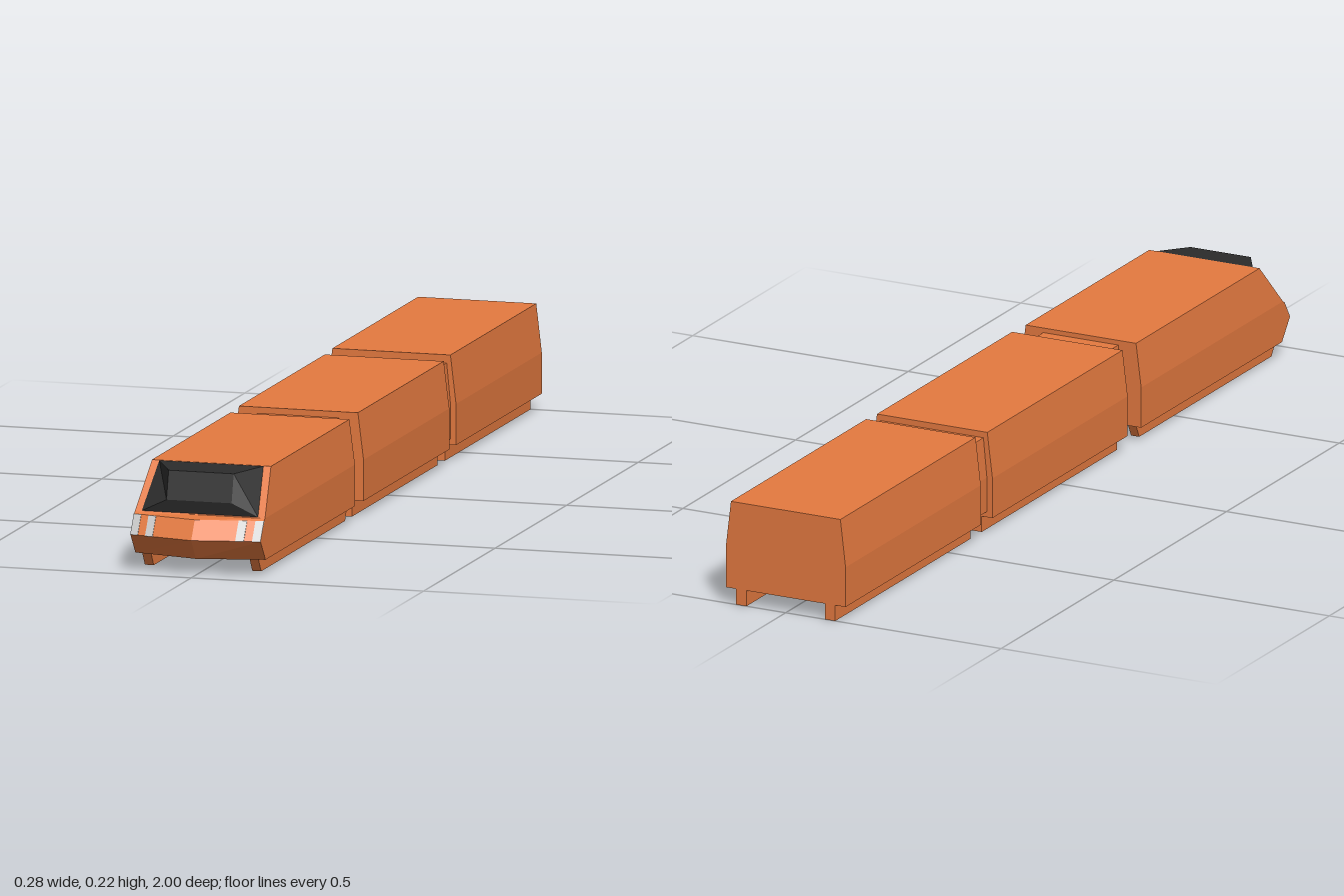
import * as THREE from 'three';

const orange = new THREE.MeshStandardMaterial({ color: 0xe57a40, flatShading: true });
const black = new THREE.MeshStandardMaterial({ color: 0x2c2c2c, flatShading: true });
const grey = new THREE.MeshStandardMaterial({ color: 0xcccccc, flatShading: true });

// Skins a stack of rings, each counter-clockwise seen from the last ring's side, and caps both ends.
function loft(rings) {
  const pos = [];
  const tri = (a, b, c) => pos.push(...a, ...b, ...c);
  const n = rings[0].length;
  for (let i = 0; i < rings.length - 1; i++) {
    for (let j = 0; j < n; j++) {
      const k = (j + 1) % n, lo = rings[i], hi = rings[i + 1];
      tri(lo[j], lo[k], hi[k]);
      tri(lo[j], hi[k], hi[j]);
    }
  }
  const last = rings[rings.length - 1];
  for (let j = 1; j < n - 1; j++) {
    tri(rings[0][0], rings[0][j + 1], rings[0][j]);
    tri(last[0], last[j], last[j + 1]);
  }
  const g = new THREE.BufferGeometry();
  g.setAttribute('position', new THREE.Float32BufferAttribute(pos, 3));
  g.computeVertexNormals();
  return g;
}

// Horizontal outline of a car at height y; the front edge may come to a point at zMid.
const plan = (y, w, back, front, zMid = front) =>
  [[-w, y, back], [-w, y, front], [0, y, zMid], [w, y, front], [w, y, back]];

function add(parent, name, geometry, material) {
  const mesh = new THREE.Mesh(geometry, material);
  mesh.name = name;
  parent.add(mesh);
  return mesh;
}

// Pair of rails under a car; bottomBack and bottomFront give sloped ends.
function addRails(parent, x0, x1, y0, y1, back, front, bottomBack = back, bottomFront = front) {
  for (const [name, a, b] of [['leftRail', x0, x1], ['rightRail', -x1, -x0]]) {
    const ring = (y, zb, zf) => [[a, y, zb], [a, y, zf], [b, y, zf], [b, y, zb]];
    add(parent, name, loft([ring(y0, bottomBack, bottomFront), ring(y1, back, front)]), orange);
  }
}

// Plain coach with sides leaning in above the waist.
function coach(name, w, top, back, front) {
  const car = new THREE.Group();
  car.name = name;
  add(car, 'coachBody', loft([
    plan(0.034, w, back, front),
    plan(0.12, w, back, front),
    plan(top, w - 0.012, back, front),
  ]), orange);
  addRails(car, 0.091, 0.115, 0, 0.036, back, front);
  return car;
}

// Leading car with a pointed nose, windscreen and headlights.
function frontCar() {
  const car = new THREE.Group();
  car.name = 'frontCar';
  const w = 0.14, back = 0.31;
  const beak = { y: 0.078, edge: 0.97, mid: 1.0 };
  const brow = { y: 0.117, edge: 0.945, mid: 0.975 };
  add(car, 'cabBody', loft([
    plan(0.034, w, back, 0.935, 0.967),
    plan(beak.y, w, back, beak.edge, beak.mid),
    plan(brow.y, w, back, brow.edge, brow.mid),
    plan(0.121, w, back, 0.939),
    plan(0.215, w - 0.012, back, 0.858),
  ]), orange);
  addRails(car, 0.106, 0.125, 0.006, 0.036, 0.315, 0.937, 0.33, 0.917);

  // Windscreen: a faceted frame rising to a smaller forward pane
  add(car, 'windscreen', loft([
    [[-0.125, 0.123, 0.939], [0.125, 0.123, 0.939], [0.112, 0.2145, 0.859], [-0.112, 0.2145, 0.859]],
    [[-0.07, 0.15, 0.945], [0.07, 0.15, 0.945], [0.07, 0.209, 0.93], [-0.07, 0.209, 0.93]],
  ]), black);

  // Headlights: thin strips lying on the nose
  const onNose = (row, x) => row.edge + (row.mid - row.edge) * (1 - Math.abs(x) / w);
  for (const [a, b] of [[-0.14, -0.123], [-0.106, -0.089], [0.089, 0.106], [0.123, 0.14]]) {
    const ring = d => [[a, beak], [b, beak], [b, brow], [a, brow]]
      .map(([x, row]) => [x, row.y, onNose(row, x) + d]);
    add(car, 'headlight', loft([ring(-0.003), ring(0.0015)]), grey);
  }
  return car;
}

export function createModel() {
  const train = new THREE.Group();
  train.name = 'train';
  train.add(frontCar());
  train.add(coach('middleCar', 0.14, 0.218, -0.35, 0.25));
  train.add(coach('rearCar', 0.139, 0.222, -1, -0.4));

  // Gangways joining the cars
  for (const [name, w, back, front] of [
    ['frontGangway', 0.095, 0.245, 0.315],
    ['rearGangway', 0.127, -0.405, -0.345],
  ]) {
    add(train, name, loft([
      plan(0.046, w, back, front),
      plan(0.12, w, back, front),
      plan(0.205, w - 0.008, back, front),
    ]), orange);
  }
  return train;
}
